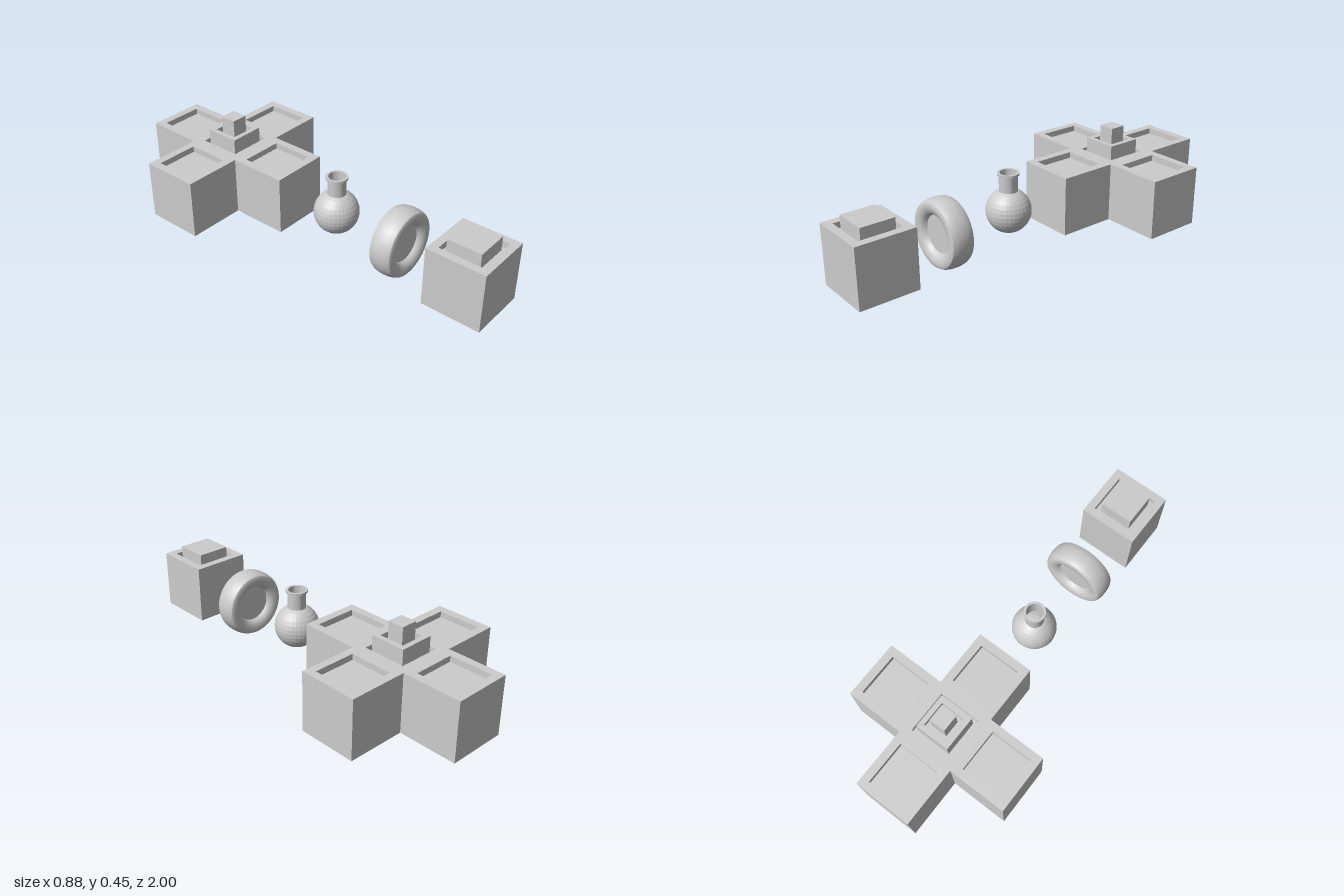
import * as THREE from 'three';
import { toCreasedNormals } from 'three/addons/utils/BufferGeometryUtils.js';

const grey = new THREE.MeshStandardMaterial({ color: 0xcccccc });
const faceted = new THREE.MeshStandardMaterial({ color: 0xcccccc, flatShading: true });

const H = 0.147;        // half width of one cube
const BOTTOM = 0.022;
const TOP = 0.318;
const RECESS = 0.107;   // half width of a square recess
const DEPTH = 0.03;     // depth of a recess

function add(parent, name, geometry, x = 0, y = 0, z = 0, material = grey) {
  const mesh = new THREE.Mesh(geometry, material);
  mesh.name = name;
  mesh.position.set(x, y, z);
  parent.add(mesh);
  return mesh;
}

// Square outline around a centre, as points
function square(half, x = 0, y = 0) {
  return [[-1, -1], [1, -1], [1, 1], [-1, 1]].map(([a, b]) => new THREE.Vector2(x + a * half, y + b * half));
}

// Upright prism whose top has square recesses: solid base plus a pierced rim
function recessedPrism(parent, name, outline, holes, y0, y1, z) {
  const extrude = (shape, depth) =>
    new THREE.ExtrudeGeometry(shape, { depth, bevelEnabled: false }).rotateX(-Math.PI / 2);
  const rim = new THREE.Shape(outline);
  rim.holes = holes.map((h) => new THREE.Path(h));
  add(parent, name + 'Base', extrude(new THREE.Shape(outline), y1 - y0 - DEPTH), 0, y0, z);
  add(parent, name + 'Rim', extrude(rim, DEPTH), 0, y1 - DEPTH, z);
}

// Square block spanning y0 to y1
function block(parent, name, half, y0, y1, z) {
  add(parent, name, new THREE.BoxGeometry(half * 2, y1 - y0, half * 2), 0, (y0 + y1) / 2, z);
}

function lathe(points, segments) {
  const geo = new THREE.LatheGeometry(points.map(([r, y]) => new THREE.Vector2(r, y)), segments);
  return toCreasedNormals(geo, 0.6);
}

export function createModel() {
  const model = new THREE.Group();

  // Cross-shaped body made of five cubes, each with a recess in its top
  const cross = new THREE.Group();
  cross.name = 'crossBody';
  const A = 3 * H, zc = -0.56;
  const outline = [
    [H, -A], [H, -H], [A, -H], [A, H], [H, H], [H, A],
    [-H, A], [-H, H], [-A, H], [-A, -H], [-H, -H], [-H, -A],
  ].map(([x, y]) => new THREE.Vector2(x, y));
  const holes = [[0, 0], [1, 0], [-1, 0], [0, 1], [0, -1]]
    .map(([i, j]) => square(RECESS, i * 2 * H, j * 2 * H));
  recessedPrism(cross, 'cross', outline, holes, BOTTOM, TOP, zc);

  // Stepped turret in the middle recess
  recessedPrism(cross, 'turret', square(0.088), [square(0.063)], TOP - DEPTH, 0.38, zc);
  block(cross, 'turretCube', 0.041, 0.35, 0.45, zc);
  model.add(cross);

  // Round flask with an open neck and lip
  const flask = new THREE.Group();
  flask.name = 'flask';
  flask.position.z = 0.11;
  add(flask, 'flaskBulb', new THREE.SphereGeometry(0.11, 32, 16), 0, 0.173, 0, faceted);
  add(flask, 'flaskNeck', lathe([
    [0.045, 0.26], [0.045, 0.353], [0.053, 0.353], [0.053, 0.365], [0.041, 0.365], [0.041, 0.26],
  ], 32));
  model.add(flask);

  // Upright wheel with a barrel tread and a dished hub on both faces
  const half = [
    [0.168, 0], [0.167, 0.02], [0.163, 0.04], [0.156, 0.054], [0.148, 0.058],
    [0.13, 0.058], [0.112, 0.053], [0.099, 0.043], [0.091, 0.028], [0, 0.028],
  ];
  const profile = [...half.slice(1).reverse().map(([r, y]) => [r, -y]), ...half];
  add(model, 'wheel', lathe(profile, 48).rotateX(Math.PI / 2), 0, 0.168, 0.48);

  // Front cube with a block set in its recess
  const box = new THREE.Group();
  box.name = 'frontCube';
  recessedPrism(box, 'cube', square(H), [square(RECESS)], BOTTOM, TOP, 0.853);
  block(box, 'cubeInset', 0.084, TOP - DEPTH, 0.36, 0.853);
  model.add(box);

  return model;
}
